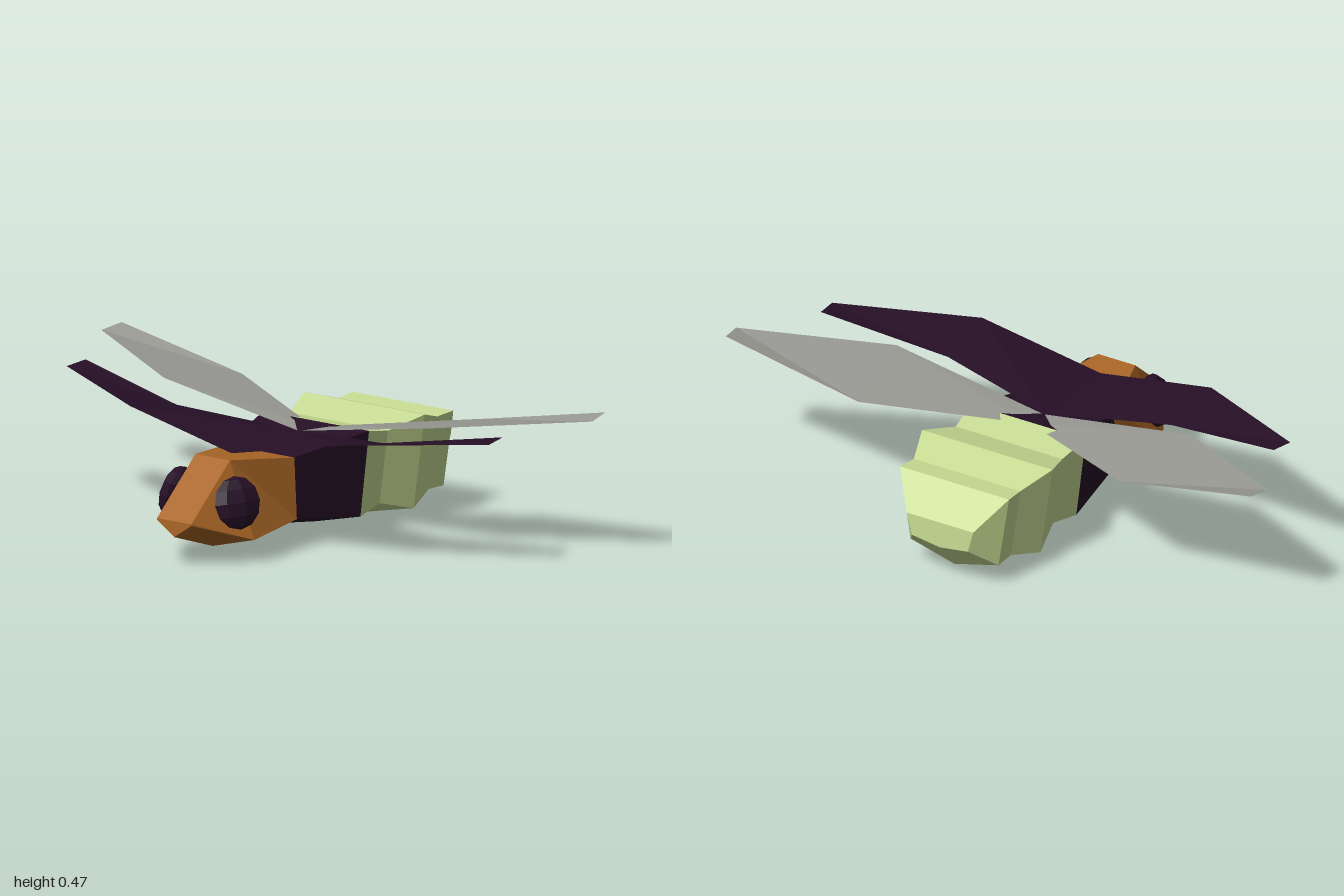
import * as THREE from 'three';

const material = (name, color, side = THREE.FrontSide) => {
  const m = new THREE.MeshStandardMaterial({ color, side, flatShading: true });
  m.name = name;
  return m;
};

function facets(points, indices) {
  const g = new THREE.BufferGeometry();
  g.setAttribute('position', new THREE.Float32BufferAttribute(points.flat(), 3));
  g.setIndex(indices);
  const flat = g.toNonIndexed();
  flat.computeVertexNormals();
  return flat;
}

// Five-sided keeled cross-sections: [z, topY, topHalfWidth, sideY, sideHalfWidth, keelY]
function loft(sections) {
  const points = [], idx = [];
  for (const [z, ty, tw, sy, sw, ky] of sections) {
    points.push([-tw, ty, z], [-sw, sy, z], [0, ky, z], [sw, sy, z], [tw, ty, z]);
  }
  const n = sections.length;
  for (let i = 0; i < n - 1; i++) {
    for (let j = 0; j < 5; j++) {
      const a = i * 5 + j, b = i * 5 + (j + 1) % 5, c = a + 5, d = b + 5;
      idx.push(a, c, b, b, c, d);
    }
  }
  const e = (n - 1) * 5;
  for (let j = 1; j < 4; j++) {
    idx.push(0, j, j + 1);
    idx.push(e, e + j + 1, e + j);
  }
  return facets(points, idx);
}

// Flat wing: root front/back, middle front/back, tip front/back
function wing(points, side) {
  const p = points.map(([x, y, z]) => [x * side, y, z]);
  const idx = [0, 2, 1, 1, 2, 3, 2, 4, 3, 3, 4, 5];
  for (let i = 0; i < idx.length && side > 0; i += 3) {
    [idx[i + 1], idx[i + 2]] = [idx[i + 2], idx[i + 1]];
  }
  // keep the front of each face upwards
  for (let i = 0; i < idx.length; i += 3) {
    const [a, b, c] = [p[idx[i]], p[idx[i + 1]], p[idx[i + 2]]];
    const ny = (b[2] - a[2]) * (c[0] - a[0]) - (b[0] - a[0]) * (c[2] - a[2]);
    if (ny < 0) [idx[i + 1], idx[i + 2]] = [idx[i + 2], idx[i + 1]];
  }
  return facets(p, idx);
}

export function createModel() {
  const group = new THREE.Group();
  const orange = material('burnt orange', 0xaa6626);
  const purple = material('dark purple', 0x260f26);
  const green = material('pale green', 0xc8dc94);
  const purpleWing = material('dark purple wing', 0x260f26, THREE.DoubleSide);
  const grey = material('grey wing', 0x999994, THREE.DoubleSide);
  const add = (name, geometry, mat) => {
    const mesh = new THREE.Mesh(geometry, mat);
    mesh.name = name;
    group.add(mesh);
    return mesh;
  };

  // Body segments, sharing their end sections
  const neck = [0.19, 0.3, 0.14, 0.1, 0.15, 0.062];
  const waist = [-0.095, 0.345, 0.215, 0.06, 0.18, 0.018];
  add('head', loft([
    [0.625, 0.152, 0.07, 0.147, 0.07, 0.1],
    [0.43, 0.325, 0.07, 0.08, 0.17, 0.035],
    neck,
  ]), orange);
  add('thorax', loft([neck, waist]), purple);
  add('abdomen', loft([
    waist,
    [-0.21, 0.322, 0.2, 0.08, 0.165, 0.04],
    [-0.34, 0.357, 0.245, 0.045, 0.2, 0.003],
    [-0.46, 0.322, 0.2, 0.08, 0.165, 0.037],
    [-0.535, 0.328, 0.205, 0.078, 0.165, 0.035],
    [-0.622, 0.225, 0.125, 0.15, 0.105, 0.135],
  ]), green);

  const fore = [
    [0, 0.32, 0.335], [0, 0.332, 0],
    [0.43, 0.405, 0.312], [0.42, 0.37, 0.09],
    [0.86, 0.432, 0.1], [0.85, 0.44, 0.017],
  ];
  const hind = [
    [0, 0.33, -0.005], [0, 0.33, -0.08],
    [0.55, 0.42, -0.008], [0.49, 0.382, -0.33],
    [1, 0.464, -0.25], [0.985, 0.476, -0.335],
  ];
  for (const side of [1, -1]) {
    const label = side > 0 ? 'left' : 'right';
    add(label + 'ForeWing', wing(fore, side), purpleWing);
    add(label + 'HindWing', wing(hind, side), grey);

    // Flattened faceted eye, tilted along the side of the head
    const eye = add(label + 'Eye', new THREE.SphereGeometry(0.086, 8, 6), purple);
    eye.scale.set(0.55, 1, 1);
    eye.position.set(side * 0.125, 0.2, 0.46);
    eye.rotation.set(0, -side * 0.3, side * 0.25);
  }
  return group;
}
